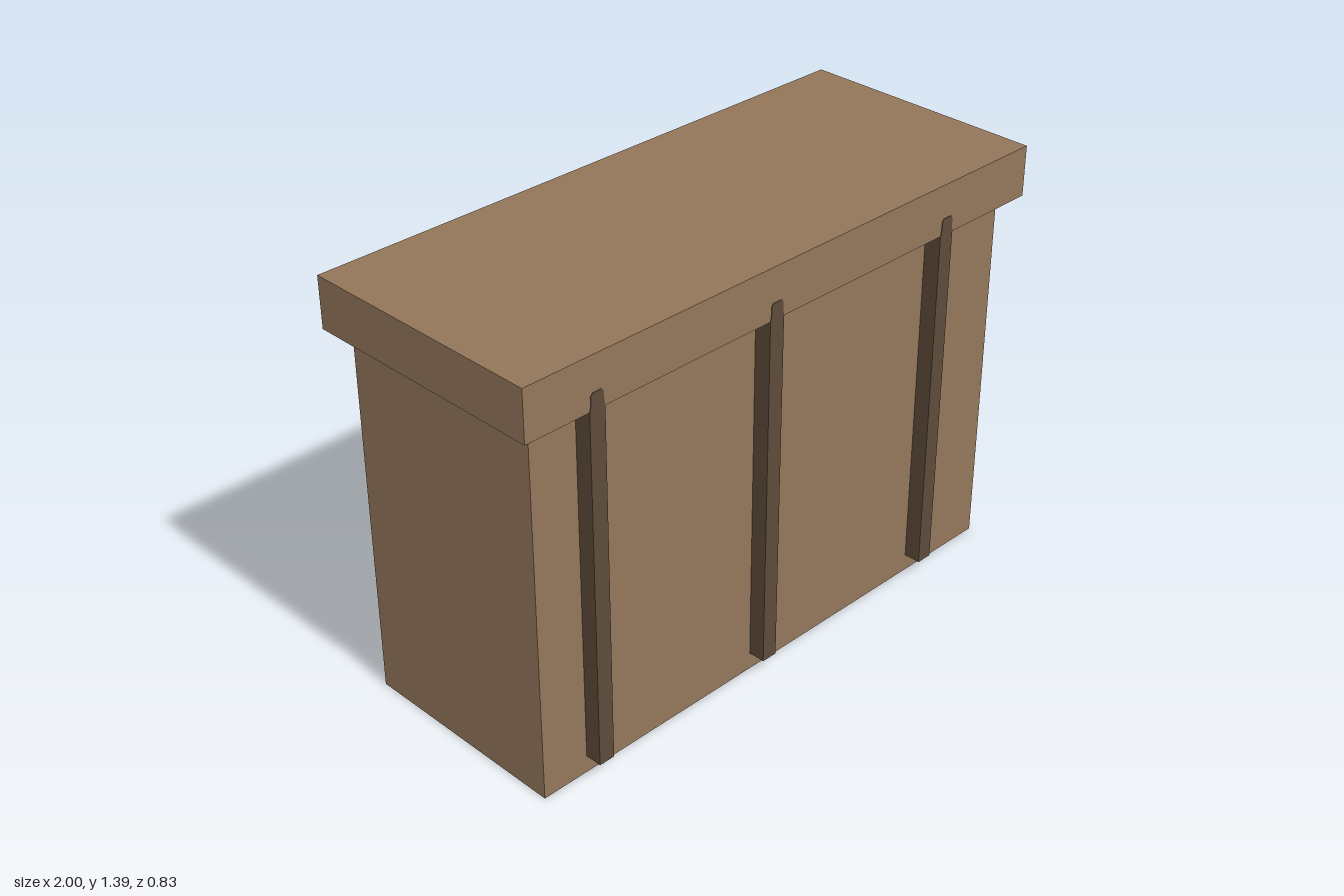
import * as THREE from 'three';

export function createModel() {
  const model = new THREE.Group();
  const wood = new THREE.MeshStandardMaterial({ name: 'wood', color: 0x93765a });
  const darkWood = new THREE.MeshStandardMaterial({ name: 'darkWood', color: 0x5d4b3a });

  function box(name, material, w, h, d, x, y, z) {
    const mesh = new THREE.Mesh(new THREE.BoxGeometry(w, h, d), material);
    mesh.name = name;
    mesh.position.set(x, y + h / 2, z);
    model.add(mesh);
  }

  // Main cabinet and overhanging top
  box('body', wood, 1.886, 1.225, 0.72, 0, 0, 0);
  box('top', wood, 2, 0.165, 0.83, 0, 1.225, 0);

  // Thin tapered strip tip that overlaps the edge of the top
  const tip = new THREE.Shape();
  tip.moveTo(-0.027, 0);
  tip.lineTo(0.027, 0);
  tip.lineTo(0.023, 0.02);
  tip.lineTo(0.023, 0.046);
  tip.lineTo(0.016, 0.055);
  tip.lineTo(-0.016, 0.055);
  tip.lineTo(-0.023, 0.046);
  tip.lineTo(-0.023, 0.02);
  const tipGeometry = new THREE.ExtrudeGeometry(tip, { depth: 0.003, bevelEnabled: false });
  tipGeometry.translate(0, 0, -0.0015);

  // Vertical strips, matching on front and back
  for (const x of [-0.755, -0.087, 0.637]) {
    for (const side of [1, -1]) {
      box('strip', darkWood, 0.054, 1.167, 0.057, x, 0.058, side * 0.3875);
      const mesh = new THREE.Mesh(tipGeometry, darkWood);
      mesh.name = 'stripTip';
      mesh.position.set(x, 1.225, side * 0.4155);
      model.add(mesh);
    }
  }
  return model;
}
